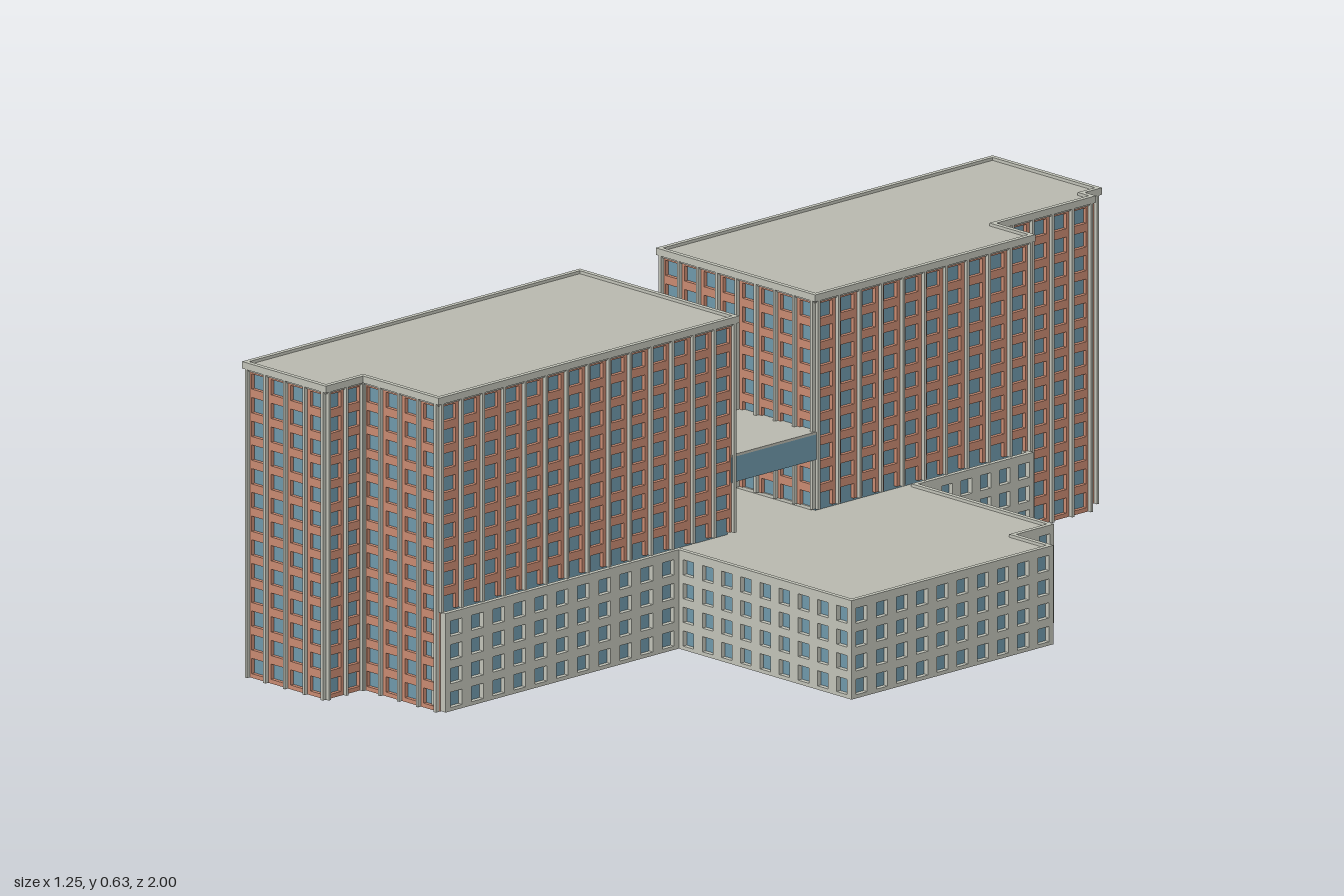
import * as THREE from 'three';
import { mergeGeometries } from 'three/addons/utils/BufferGeometryUtils.js';

const mat = (color) => new THREE.MeshStandardMaterial({ color });
const brick = mat(0xc98b72), glass = mat(0x7099ab), pale = mat(0xc2c4b9), roofing = mat(0xbabab0);
const FLOOR = 0.0477, BAY = 0.055;

// Plans are counter-clockwise outlines [across, along] in the building's own axes.
const edgeNormal = (a, b) => {
  const l = Math.hypot(b[0] - a[0], b[1] - a[1]);
  return [(b[1] - a[1]) / l, -(b[0] - a[0]) / l];
};

// Moves every wall of a right-angled plan inwards by d
function inset(plan, d) {
  const n = plan.length;
  return plan.map((p, i) => {
    const n1 = edgeNormal(plan[(i + n - 1) % n], p), n2 = edgeNormal(p, plan[(i + 1) % n]);
    return [p[0] - (n1[0] + n2[0]) * d, p[1] - (n1[1] + n2[1]) * d];
  });
}

function prism(name, material, plan, y0, y1, hole) {
  const shape = new THREE.Shape(plan.map((p) => new THREE.Vector2(...p)));
  if (hole) shape.holes.push(new THREE.Path(hole.map((p) => new THREE.Vector2(...p))));
  const geo = new THREE.ExtrudeGeometry(shape, { depth: y1 - y0, bevelEnabled: false });
  geo.rotateX(-Math.PI / 2).translate(0, y0, 0);
  const mesh = new THREE.Mesh(geo, material);
  mesh.name = name;
  return mesh;
}

// Piers, floor bands and optional ribs on the wall from a to b
function facade(a, b, y0, y1, o, panels, ribs) {
  const len = Math.hypot(b[0] - a[0], b[1] - a[1]);
  const n = edgeNormal(a, b);
  const frame = new THREE.Matrix4().makeBasis(
    new THREE.Vector3((b[0] - a[0]) / len, 0, -(b[1] - a[1]) / len),
    new THREE.Vector3(0, 1, 0),
    new THREE.Vector3(n[0], 0, -n[1])
  ).setPosition(a[0], 0, -a[1]);
  const slab = (list, s0, s1, h0, h1, d0, d1) => {
    s0 = Math.max(s0, 0);
    s1 = Math.min(s1, len);
    const g = new THREE.BoxGeometry(s1 - s0, h1 - h0, d1 - d0);
    g.translate((s0 + s1) / 2, (h0 + h1) / 2, (d0 + d1) / 2);
    list.push(g.applyMatrix4(frame));
  };
  if (o.plain) return slab(panels, 0, len, y0, y1, -o.recess, 0);

  const bays = Math.max(1, Math.round(len / BAY)), w = len / bays;
  for (let i = 0; i <= bays; i++) {
    slab(panels, i * w - w * o.pier / 2, i * w + w * o.pier / 2, y0, y1, -o.recess, 0);
    if (o.rib) {
      const c = THREE.MathUtils.clamp(i * w, 0.003, len - 0.003);
      slab(ribs, c - 0.003, c + 0.003, y0, y1, 0, o.rib);
    }
  }
  for (let y = 0; y < y1 + 0.01; y += FLOOR) {
    const h0 = Math.max(y - 0.0085, y0), h1 = Math.min(y + 0.0085, y1);
    if (h1 > h0) slab(panels, 0, len, h0, h1, -o.recess, 0);
  }
}

function addMerged(group, name, list, material) {
  if (!list.length) return;
  const mesh = new THREE.Mesh(mergeGeometries(list), material);
  mesh.name = name;
  group.add(mesh);
}

// A block: glazed core, wall grid, parapet and roof. starts[i] is the foot of wall i
function block(name, plan, top, wallTop, wallMat, starts, o) {
  const g = new THREE.Group();
  g.name = name;
  const face = inset(plan, o.rib || 0);
  const core = inset(face, o.recess);
  const panels = [], ribs = [];
  face.forEach((p, i) => {
    if (starts[i] === null) return;
    const plain = starts[i] === 'plain';
    facade(p, face[(i + 1) % face.length], plain ? o.foot : starts[i] || o.foot, wallTop, { ...o, plain }, panels, ribs);
  });
  addMerged(g, 'wallGrid', panels, wallMat);
  addMerged(g, 'wallRibs', ribs, pale);
  g.add(
    prism('glazing', glass, core, o.foot + 0.003, wallTop - 0.004, null),
    prism('baseSlab', wallMat, inset(face, 0.001), o.foot, o.foot + 0.005, null),
    prism('parapet', pale, plan, wallTop, top, inset(plan, 0.01)),
    prism('roof', roofing, inset(plan, 0.004), wallTop - 0.004, top - 0.006, null)
  );
  return g;
}

export function createModel() {
  const model = new THREE.Group();
  model.name = 'officeComplex';
  const site = new THREE.Group();
  site.name = 'rotatedSite';
  site.position.set(-0.625, 0, 0.93);
  site.rotation.y = -0.28;
  model.add(site);

  // Two tall slabs in line, with stepped outer ends
  const tower = { rib: 0.008, recess: 0.008, pier: 0.4, foot: 0 };
  site.add(block('frontTower',
    [[0, 0], [0.233, 0], [0.233, 0.1], [0.443, 0.1], [0.443, 0.905], [0, 0.905]],
    0.634, 0.62, brick, [0, 0, 0, 0.2, 0.2, 0], tower));
  site.add(block('rearTower',
    [[0, 1.108], [0.443, 1.108], [0.443, 1.698], [0.335, 1.698], [0.335, 1.964],
      [0.304, 1.964], [0.304, 2.01], [0, 2.01]],
    0.634, 0.62, brick, [0.2, 0.2, 0, 0, 0, 0, 0, 0], tower));

  // Low podium: strip along the towers, side wing and link through the gap
  site.add(block('podium',
    [[0.41, 0.112], [0.45, 0.112], [0.45, 0.736], [0.93, 0.736], [0.93, 1.277],
      [0.827, 1.277], [0.827, 1.378], [0.45, 1.378], [0.45, 1.686], [0.41, 1.686],
      [0.41, 1.13], [0.012, 1.13], [0.012, 0.88], [0.41, 0.88]],
    0.2, 0.191, pale,
    ['plain', 0, 0, 0, 0, 0, 0, 0, 'plain', null, null, 'plain', null, null],
    { rib: 0, recess: 0.01, pier: 0.45, foot: 0.001 }));

  // Bridge between the towers
  const span = [[0.012, 0.89], [0.438, 0.89], [0.438, 1.122], [0.012, 1.122]];
  const bridge = new THREE.Group();
  bridge.name = 'bridge';
  bridge.add(
    prism('bridgeBody', glass, span, 0.3, 0.351, null),
    prism('bridgeRoof', roofing, span, 0.351, 0.356, null)
  );
  site.add(bridge);
  return model;
}
